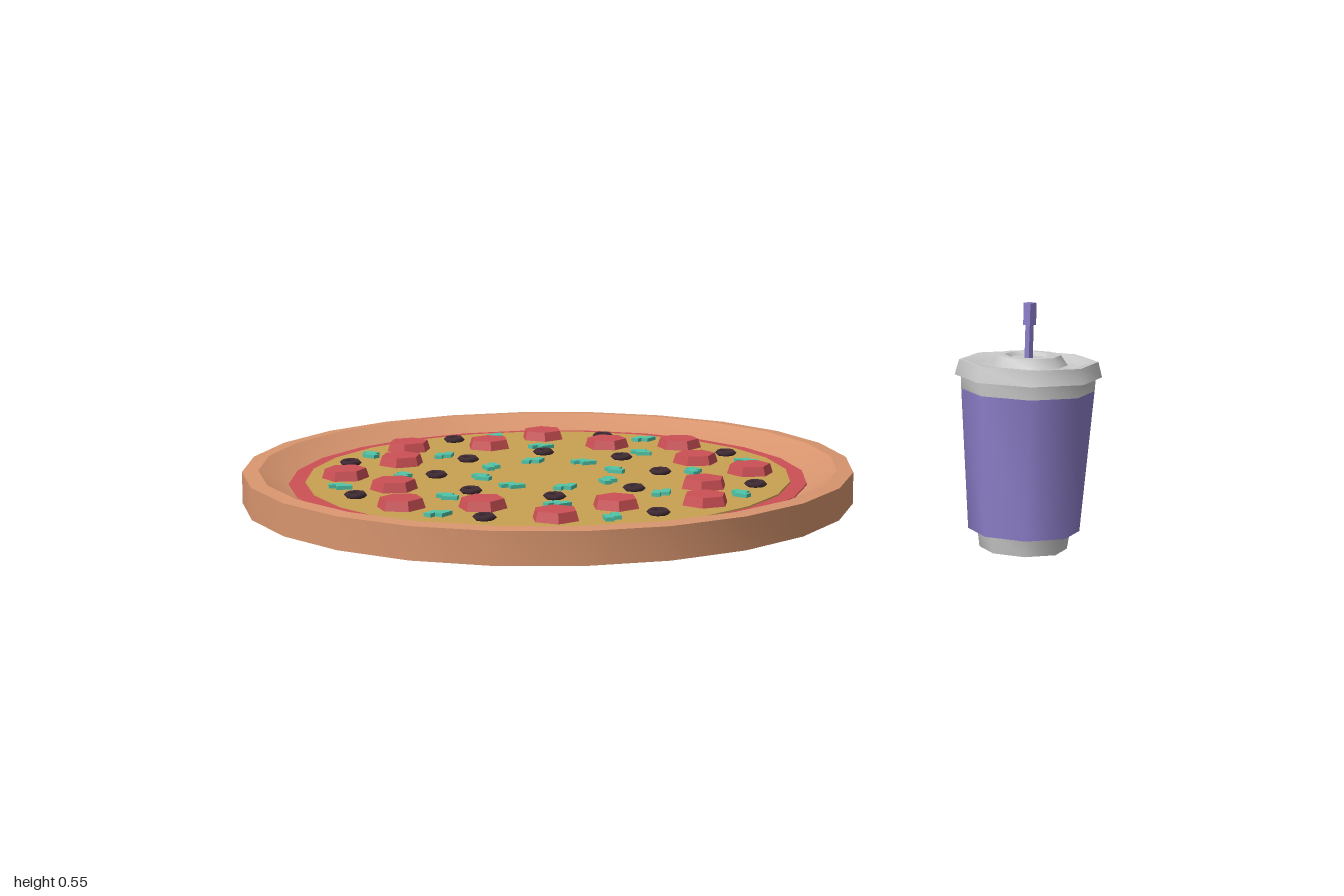
import * as THREE from 'three';
import { toCreasedNormals } from 'three/addons/utils/BufferGeometryUtils.js';

const mat = (name, color) => {
  const m = new THREE.MeshStandardMaterial({ color });
  m.name = name;
  return m;
};

// Turned solid from [radius, height] points, listed from the bottom up
const lathe = (points, sides, crease) => toCreasedNormals(
  new THREE.LatheGeometry(points.map(([r, y]) => new THREE.Vector2(r, y)), sides),
  THREE.MathUtils.degToRad(crease));

export function createModel() {
  const crustMat = mat('baked crust', 0xd8956e);
  const redMat = mat('tomato red', 0xcc5054);
  const cheeseMat = mat('golden cheese', 0xc9a252);
  const oliveMat = mat('dark olive', 0x432d36);
  const herbMat = mat('green pepper', 0x50c4a8);
  const purpleMat = mat('cup purple', 0x8f80cc);
  const lidMat = mat('lid grey', 0xcacaca);

  const model = new THREE.Group();
  const add = (parent, name, geo, material, x = 0, y = 0, z = 0, turn = 0) => {
    const mesh = new THREE.Mesh(geo, material);
    mesh.name = name;
    mesh.position.set(x, y, z);
    mesh.rotation.y = turn;
    parent.add(mesh);
    return mesh;
  };

  // Pizza: raised crust with a sunken sauce and cheese disc
  const pizza = new THREE.Group();
  pizza.name = 'pizza';
  pizza.position.x = -0.256;
  model.add(pizza);
  add(pizza, 'crust', lathe([[0, 0], [0.744, 0], [0.744, 0.077], [0.705, 0.08],
    [0.63, 0.042], [0.6, 0.038]], 24, 25), crustMat);
  add(pizza, 'sauce', lathe([[0.635, 0.04], [0.632, 0.046], [0.58, 0.047]], 24, 25), redMat);
  add(pizza, 'cheese', lathe([[0.594, 0.042], [0.592, 0.05], [0, 0.05]], 24, 25), cheeseMat);

  // Toppings: the same set on each of eight slices
  const pepperoniGeo = lathe([[0.058, 0], [0.05, 0.025], [0, 0.025]], 6, 25);
  const oliveGeo = new THREE.TorusGeometry(0.021, 0.007, 4, 8).rotateX(Math.PI / 2);
  const bitGeo = new THREE.BoxGeometry(0.038, 0.01, 0.02);
  for (let i = 0; i < 8; i++) {
    const slice = new THREE.Group();
    slice.name = 'sliceToppings';
    slice.rotation.y = -i * Math.PI / 4;
    pizza.add(slice);
    for (const [x, z] of [[0.091, -0.39], [0.278, -0.411]])
      add(slice, 'pepperoni', pepperoniGeo, redMat, x, 0.048, z, Math.PI / 2);
    for (const [x, z] of [[0.064, -0.513], [0.15, -0.23]])
      add(slice, 'oliveRing', oliveGeo, oliveMat, x, 0.056, z);
    for (const [x, z, turn] of [[0.176, -0.487, 1.1], [0.192, -0.3, 0], [0.064, -0.155, 0.55]]) {
      const pepper = new THREE.Group();
      pepper.name = 'pepperPieces';
      pepper.position.set(x, 0.054, z);
      pepper.rotation.y = turn;
      slice.add(pepper);
      for (const s of [-1, 1]) add(pepper, 'pepperPiece', bitGeo, herbMat, s * 0.008, 0, s * 0.01);
    }
  }

  // Drink cup: eight sides throughout
  const cup = new THREE.Group();
  cup.name = 'drinkCup';
  cup.position.set(0.84, 0, -0.51);
  model.add(cup);
  add(cup, 'cupBase', lathe([[0, 0], [0.096, 0], [0.102, 0.042]], 8, 50), lidMat);
  add(cup, 'cupBody', lathe([[0.09, 0.041], [0.122, 0.041], [0.145, 0.357]], 8, 50), purpleMat);
  add(cup, 'cupBand', lathe([[0.145, 0.356], [0.147, 0.39]], 8, 50), lidMat);
  add(cup, 'lid', lathe([[0.14, 0.387], [0.16, 0.387], [0.151, 0.421], [0.137, 0.421],
    [0.122, 0.412], [0.085, 0.412], [0.07, 0.434], [0.052, 0.434], [0.046, 0.426],
    [0, 0.426]], 8, 46), lidMat);

  // Straw with a wider mouthpiece
  const straw = (bottom, top, r) => lathe(
    [[0, bottom], [r, bottom], [r, top], [0, top]], 4, 30).rotateY(Math.PI / 4);
  add(cup, 'straw', straw(0.42, 0.51, 0.009), purpleMat);
  add(cup, 'strawTip', straw(0.5, 0.549, 0.014), purpleMat);

  return model;
}
